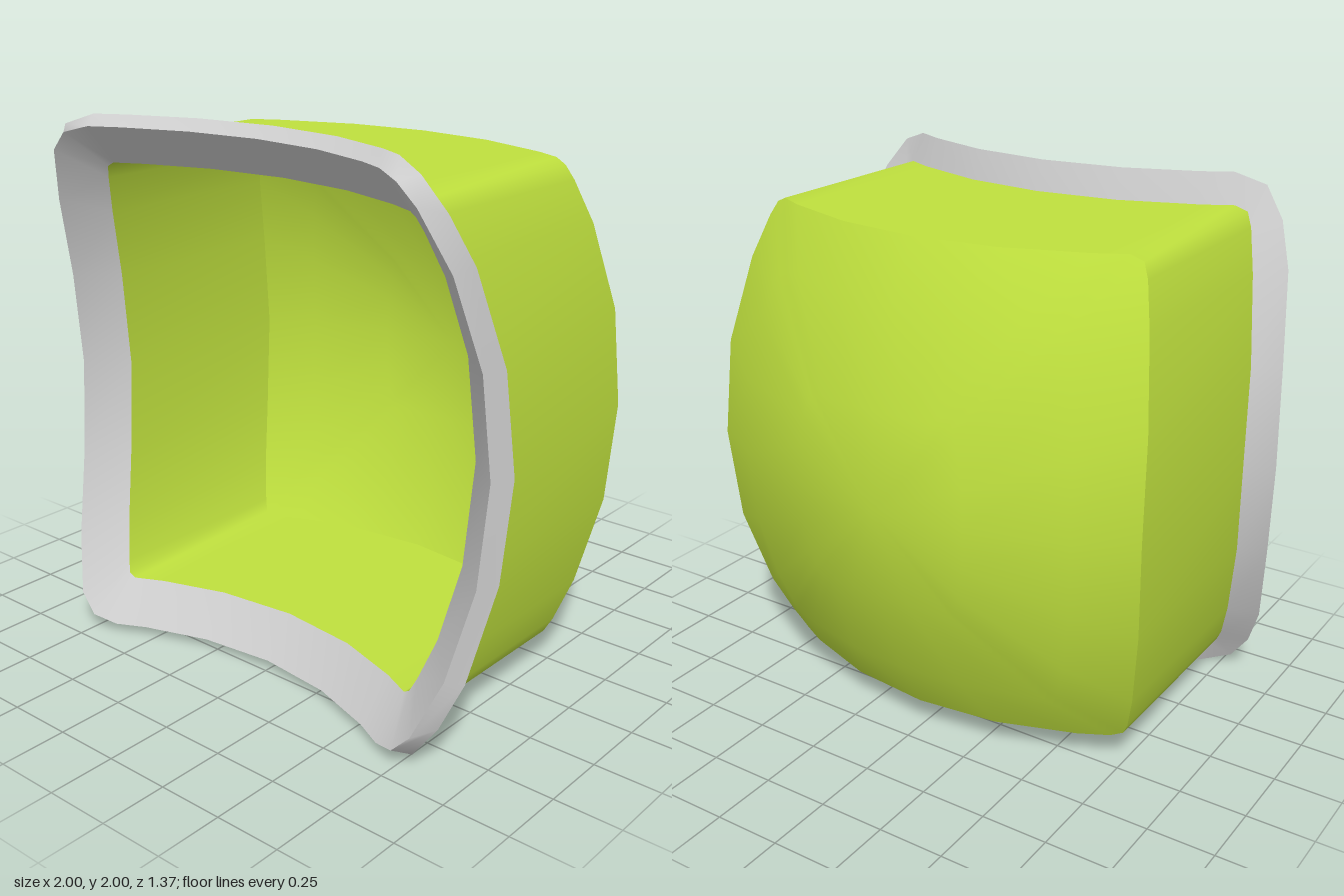
import * as THREE from 'three';
import { mergeVertices } from 'three/addons/utils/BufferGeometryUtils.js';

const R = 1.65; // radius of the sphere that curves the rim and the back
const sag = (x, y) => R - Math.sqrt(R * R - x * x - y * y);

// Quarter outlines from top middle to side middle, relative to the centre
const OUTLINES = {
  opening: [[0, .82], [.31, .82], [.56, .82], [.67, .82], [.695, .805], [.715, .76], [.76, .62], [.805, .36], [.82, 0]],
  rimFront: [[0, .965], [.29, .965], [.54, .965], [.65, .965], [.74, .94], [.81, .87], [.89, .67], [.945, .36], [.96, 0]],
  rimBack: [[0, 1], [.31, 1], [.57, 1], [.68, 1], [.79, .96], [.87, .85], [.93, .69], [.98, .36], [1, 0]],
  body: [[0, .89], [.31, .89], [.6, .89], [.705, .89], [.75, .87], [.775, .82], [.82, .67], [.875, .36], [.89, 0]],
};

// Mirror a quarter outline into a closed loop lying on the sphere, shifted by dz
function ring(name, dz, scale = 1) {
  const q = OUTLINES[name];
  const right = [...q, ...q.slice(0, -1).reverse().map(([x, y]) => [x, -y])];
  const left = right.slice(1, -1).reverse().map(([x, y]) => [-x, y]);
  return [...right, ...left].map(([x, y]) => {
    const u = x * scale, v = y * scale;
    return [u, v + 1, sag(u, v) + dz];
  });
}

// Smooth surface through successive loops
function surface(name, material, rings) {
  const n = rings[0].length, index = [];
  for (let r = 0; r < rings.length - 1; r++) {
    for (let i = 0; i < n; i++) {
      const j = (i + 1) % n, a = r * n, b = a + n;
      index.push(a + i, a + j, b + i, a + j, b + j, b + i);
    }
  }
  let geo = new THREE.BufferGeometry();
  geo.setAttribute('position', new THREE.Float32BufferAttribute(rings.flat(2), 3));
  geo.setIndex(index);
  geo = mergeVertices(geo);
  geo.computeVertexNormals();
  const mesh = new THREE.Mesh(geo, material);
  mesh.name = name;
  return mesh;
}

export function createModel() {
  const grey = new THREE.MeshStandardMaterial({ color: 0xcccccc });
  const green = new THREE.MeshStandardMaterial({ color: 0xbfe03e });

  const opening = ring('opening', .145);
  const rimFront = ring('rimFront', .175);
  const rimBack = ring('rimBack', .072);
  const bodyFront = ring('body', .11);
  const steps = [1, .775, .39, 0];
  const outerDome = steps.map(s => ring('body', -.68, s));
  const innerDome = steps.map(s => ring('opening', -.645, s)).reverse();

  // Flared rim around the opening
  const rim = new THREE.Group();
  rim.name = 'rim';
  rim.add(
    surface('rimFace', grey, [opening, rimFront]),
    surface('rimEdge', grey, [rimFront, rimBack]),
    surface('rimUnderside', grey, [rimBack, bodyFront]),
  );

  // Hollow shell with a domed back
  const shell = new THREE.Group();
  shell.name = 'shell';
  shell.add(
    surface('outerWall', green, [bodyFront, outerDome[0]]),
    surface('outerBack', green, outerDome),
    surface('innerBack', green, innerDome),
    surface('innerWall', green, [innerDome[3], opening]),
  );

  const model = new THREE.Group();
  model.name = 'curvedHood';
  model.add(rim, shell);
  return model;
}
